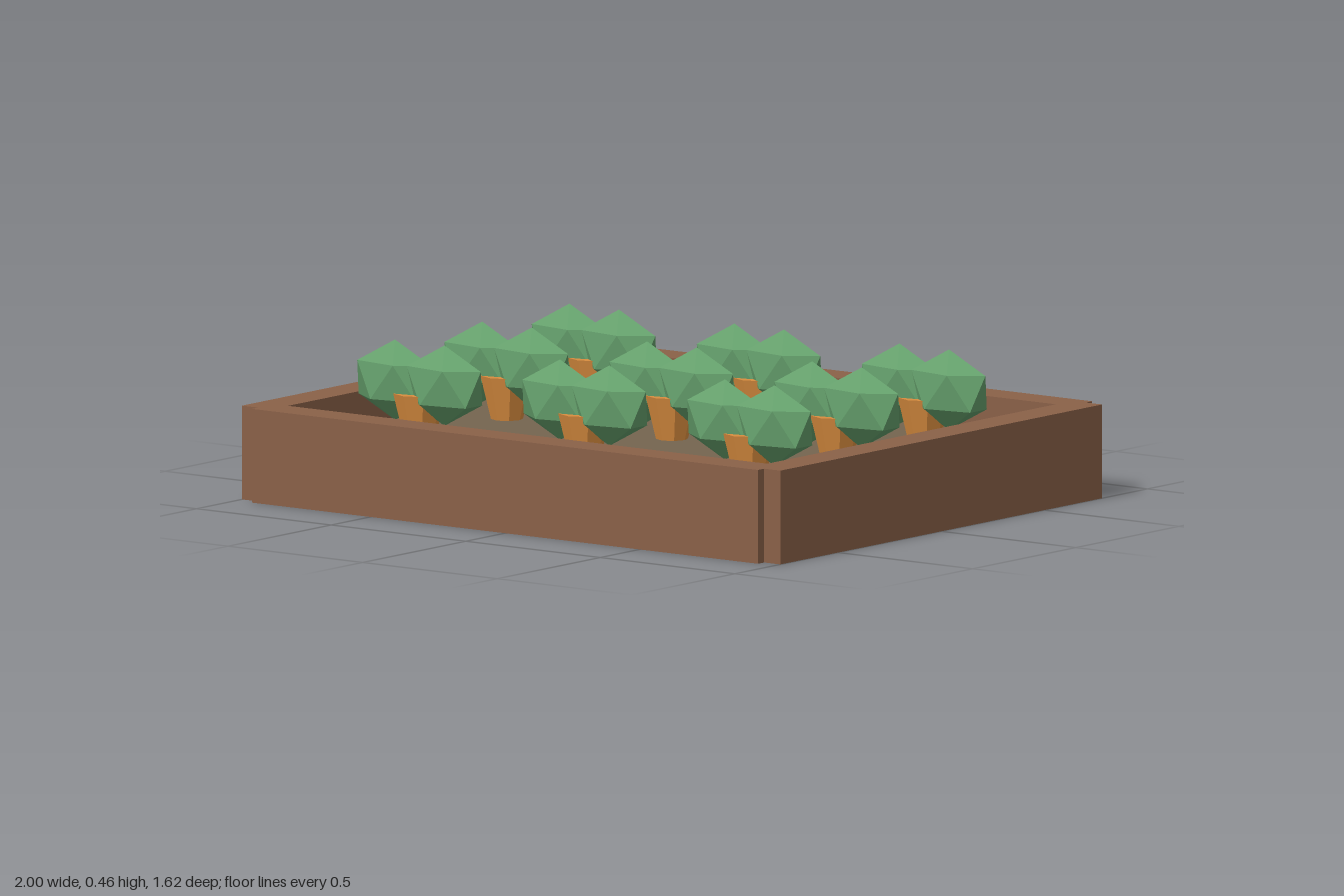
import * as THREE from 'three';

const material = (color) => new THREE.MeshStandardMaterial({ color, flatShading: true });

export function createModel() {
  const model = new THREE.Group();
  model.name = 'vegetablePlanter';
  const wood = material(0x8a6148);
  const earth = material(0x75654f);
  const leaf = material(0x65a06c);
  const root = material(0xd98d3f);

  const add = (parent, name, geometry, mat, x, y, z) => {
    const mesh = new THREE.Mesh(geometry, mat);
    mesh.name = name;
    mesh.position.set(x, y, z);
    parent.add(mesh);
  };

  // Wooden frame: side boards stick out past the front and back boards
  const height = 0.28;
  const longBoard = new THREE.BoxGeometry(1.88, height, 0.11);
  const sideBoard = new THREE.BoxGeometry(0.11, height, 1.56);
  add(model, 'frontBoard', longBoard, wood, 0, height / 2, 0.755);
  add(model, 'backBoard', longBoard, wood, 0, height / 2, -0.755);
  add(model, 'leftBoard', sideBoard, wood, 0.945, height / 2, 0);
  add(model, 'rightBoard', sideBoard, wood, -0.945, height / 2, 0);

  // Soil bed, sunk below the rim
  add(model, 'soil', new THREE.BoxGeometry(1.78, 0.175, 1.4), earth, 0, 0.0925, 0);

  // Faceted leaf clump standing on a vertex, flattened front to back
  const clump = new THREE.IcosahedronGeometry(1, 0);
  clump.rotateZ(-Math.atan2(1, (1 + Math.sqrt(5)) / 2));
  clump.scale(0.151, 0.12, 0.077);
  const rootGeometry = new THREE.CylinderGeometry(0.079, 0.043, 0.15, 8);

  // Three rows of three plants
  for (const z of [-0.423, 0, 0.423]) {
    for (const x of [-0.613, 0, 0.613]) {
      const plant = new THREE.Group();
      plant.name = 'plant';
      plant.position.set(x, 0, z);
      add(plant, 'root', rootGeometry, root, 0, 0.235, 0);
      for (const side of [-1, 1]) add(plant, 'leafClump', clump, leaf, side * 0.092, 0.341, 0);
      model.add(plant);
    }
  }
  return model;
}
